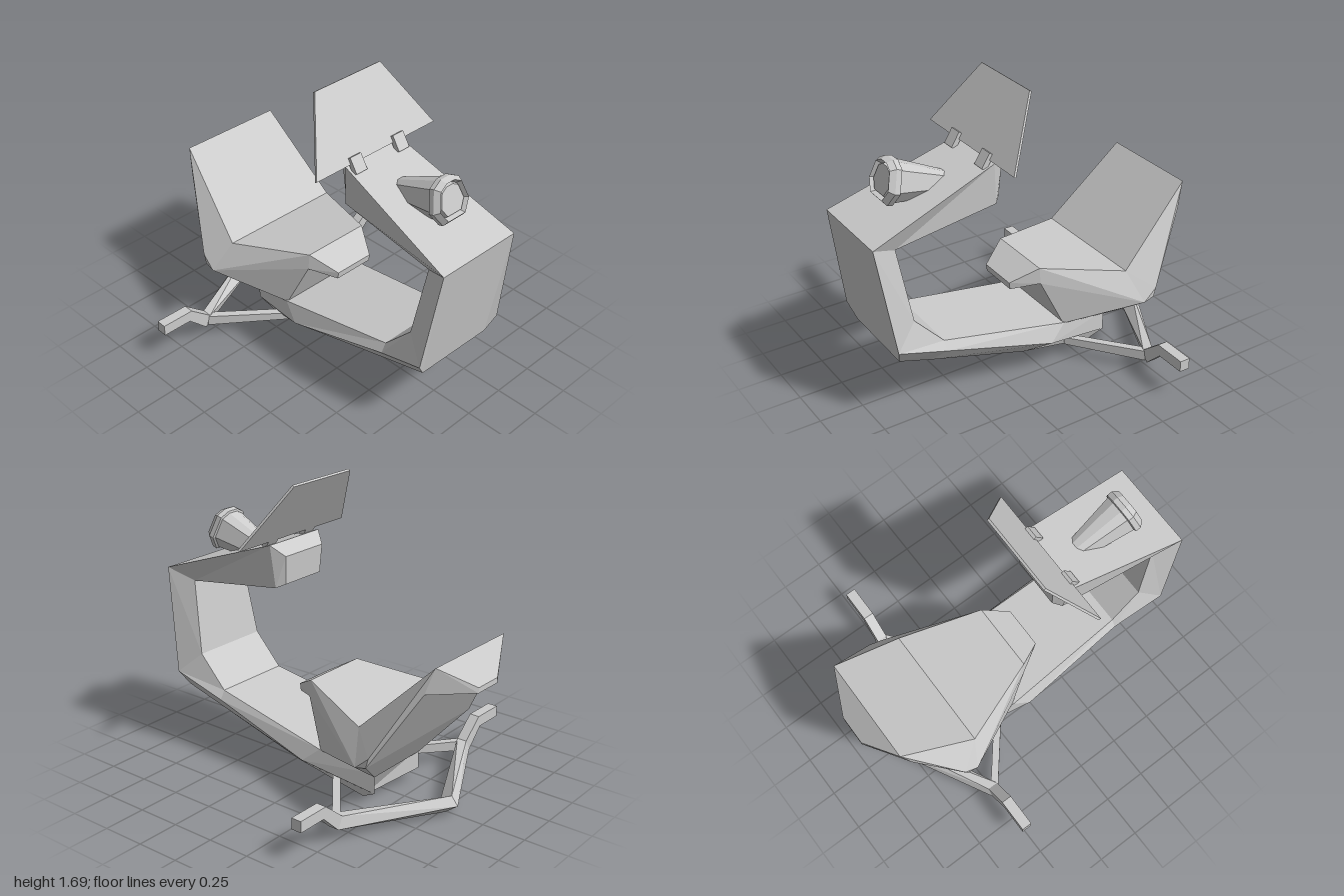
import * as THREE from 'three';
import { ConvexGeometry } from 'three/addons/geometries/ConvexGeometry.js';

const material = new THREE.MeshStandardMaterial({ color: 0xcccccc, flatShading: true });

function add(parent, name, geometry) {
  const mesh = new THREE.Mesh(geometry, material);
  mesh.name = name;
  parent.add(mesh);
  return mesh;
}

// Faceted solid around a list of [x, y, z] points
const hull = (points) => new ConvexGeometry(points.map((p) => new THREE.Vector3(...p)));

// Adds the mirror image of every point
const mirror = (points) => points.flatMap(([x, y, z]) => [[x, y, z], [-x, y, z]]);

// Skin over a row of equal-length rings, with both ends closed
function loft(rings) {
  const n = rings[0].length;
  const last = rings.length - 1;
  const pos = [];
  const tri = (a, b, c) => pos.push(...a, ...b, ...c);
  for (let k = 0; k < last; k++) {
    for (let j = 0; j < n; j++) {
      const i = (j + 1) % n;
      tri(rings[k][j], rings[k + 1][j], rings[k + 1][i]);
      tri(rings[k][j], rings[k + 1][i], rings[k][i]);
    }
  }
  for (let j = 1; j < n - 1; j++) {
    tri(rings[0][0], rings[0][j], rings[0][j + 1]);
    tri(rings[last][0], rings[last][j + 1], rings[last][j]);
  }
  const geometry = new THREE.BufferGeometry();
  geometry.setAttribute('position', new THREE.Float32BufferAttribute(pos, 3));
  geometry.computeVertexNormals();
  return geometry;
}

// C-shaped frame: each station gives outer, side and inner edge as [half width, y, z]
function buildFrame(parent) {
  const stations = [
    [[0.15, 1.26, 0.20], [0.15, 1.26, 0.20], [0.14, 1.10, 0.21]],
    [[0.20, 1.32, 0.27], [0.20, 1.32, 0.27], [0.18, 1.08, 0.25]],
    [[0.26, 1.065, 1.00], [0.26, 1.065, 1.00], [0.20, 1.00, 0.85]],
    [[0.24, 0.37, 0.88], [0.30, 0.46, 0.91], [0.235, 0.58, 0.78]],
    [[0.21, 0.29, 0.68], [0.265, 0.35, 0.61], [0.235, 0.40, 0.61]],
    [[0.19, 0.11, 0.08], [0.30, 0.185, -0.03], [0.27, 0.27, -0.13]],
    [[0.18, 0.03, -0.36], [0.20, 0.08, -0.45], [0.20, 0.20, -0.45]],
  ];
  const rings = stations.map((s) => {
    const left = s.map(([w, y, z]) => [w, y, z]);
    const right = s.map(([w, y, z]) => [-w, y, z]).reverse();
    return [...left, ...right];
  });
  add(parent, 'frame', loft(rings));
}

function buildSeat(parent) {
  const seat = new THREE.Group();
  seat.name = 'seat';
  parent.add(seat);

  const frontTop = [0.20, 0.62, -0.01];
  const frontLow = [0.21, 0.53, -0.01];
  const crease = [0.365, 0.54, -0.47];
  const hip = [0.47, 0.37, -0.53];
  const hipBack = [0.465, 0.385, -0.595];
  const backLow = [0.465, 0.44, -0.61];
  const backTop = [0.305, 0.955, -0.89];
  const backRear = [0.33, 0.81, -0.845];

  add(seat, 'seatNose', hull(mirror([frontTop, frontLow, [0.12, 0.535, 0.135], [0.12, 0.495, 0.13]])));
  add(seat, 'seatCushion', hull(mirror([frontTop, frontLow, crease, hip])));
  add(seat, 'seatBack', hull(mirror([crease, hip, hipBack, backLow, backTop, backRear])));
  add(seat, 'seatTail', hull(mirror([backTop, backRear, [0.085, 0.81, -1], [0.085, 0.78, -1]])));
  add(seat, 'seatBase', hull(mirror([frontLow, hip, hipBack, [0.26, 0.26, -0.13], [0.20, 0.18, -0.45]])));
}

// Headlight: one outline scaled along a tilted axis, from the recessed lens to the back
function buildHeadlight(parent) {
  const half = [[0.075, -0.115], [0.125, -0.035], [0.09, 0.085], [0.035, 0.115]];
  const outline = [...half, ...half.map(([x, y]) => [-x, y]).reverse()];
  const steps = [ // scale, distance along the axis
    [0.64, -0.012], [0.70, -0.03], [0.82, 0.0], [1.0, -0.03], [1.0, -0.06], [0.9, -0.065], [0.45, -0.40],
  ];
  const rings = steps.map(([s, d]) => outline.map(([x, y]) => [x * s, y * s, d]));
  const light = add(parent, 'headlight', loft(rings));
  light.position.set(0, 1.30, 0.815);
  light.rotation.x = -0.29;
}

function buildWindshield(parent) {
  const t = 0.007;
  const edge = (w, y, z) => [[w, y + 0.53 * t, z + 0.85 * t], [w, y - 0.53 * t, z - 0.85 * t]];
  add(parent, 'windshield', hull(mirror([...edge(0.42, 1.338, 0.288), ...edge(0.228, 1.682, 0.073)])));
  for (const side of [-1, 1]) {
    const tab = add(parent, 'windshieldTab', new THREE.BoxGeometry(0.075, 0.09, 0.03));
    tab.position.set(side * 0.152, 1.335, 0.302);
    tab.rotation.x = -0.56;
  }
}

// Foot bars: pegs, front struts and a rear V meeting at the centre
function buildFootBars(parent) {
  const bars = new THREE.Group();
  bars.name = 'footBars';
  parent.add(bars);
  const upright = (x, y, z, h, d) => [[x, y - h, z - d], [x, y - h, z + d], [x, y + h, z - d], [x, y + h, z + d]];
  for (const s of [-1, 1]) {
    const grip = upright(s * 0.88, 0.205, -0.492, 0.032, 0.03);
    const bend = [[0.705, 0.173, -0.522], [0.705, 0.173, -0.462], [0.688, 0.237, -0.522], [0.688, 0.237, -0.462]]
      .map(([x, y, z]) => [s * x, y, z]);
    const foot = [[0.595, 0.065, -0.525], [0.595, 0.065, -0.465], [0.56, 0.13, -0.525], [0.56, 0.13, -0.465]]
      .map(([x, y, z]) => [s * x, y, z]);
    const centre = [[0, 0.11, -0.81], [0, 0.06, -0.85], [0, 0, -0.77], [0, 0.05, -0.735]];
    add(bars, 'footPeg', hull([...grip, ...bend]));
    add(bars, 'pegRiser', hull([...bend, ...foot]));
    add(bars, 'frontStrut', hull([...upright(s * 0.575, 0.097, -0.495, 0.03, 0.027), ...upright(s * 0.21, 0.1, -0.2, 0.022, 0.027)]));
    add(bars, 'rearBar', hull([...foot, ...centre]));
  }
}

export function createModel() {
  const model = new THREE.Group();
  model.name = 'hoverScooter';
  const body = new THREE.Group();
  body.name = 'body';
  body.rotation.y = -0.014;
  model.add(body);
  buildFrame(body);
  buildSeat(body);
  buildHeadlight(body);
  buildWindshield(body);
  buildFootBars(body);
  return model;
}
